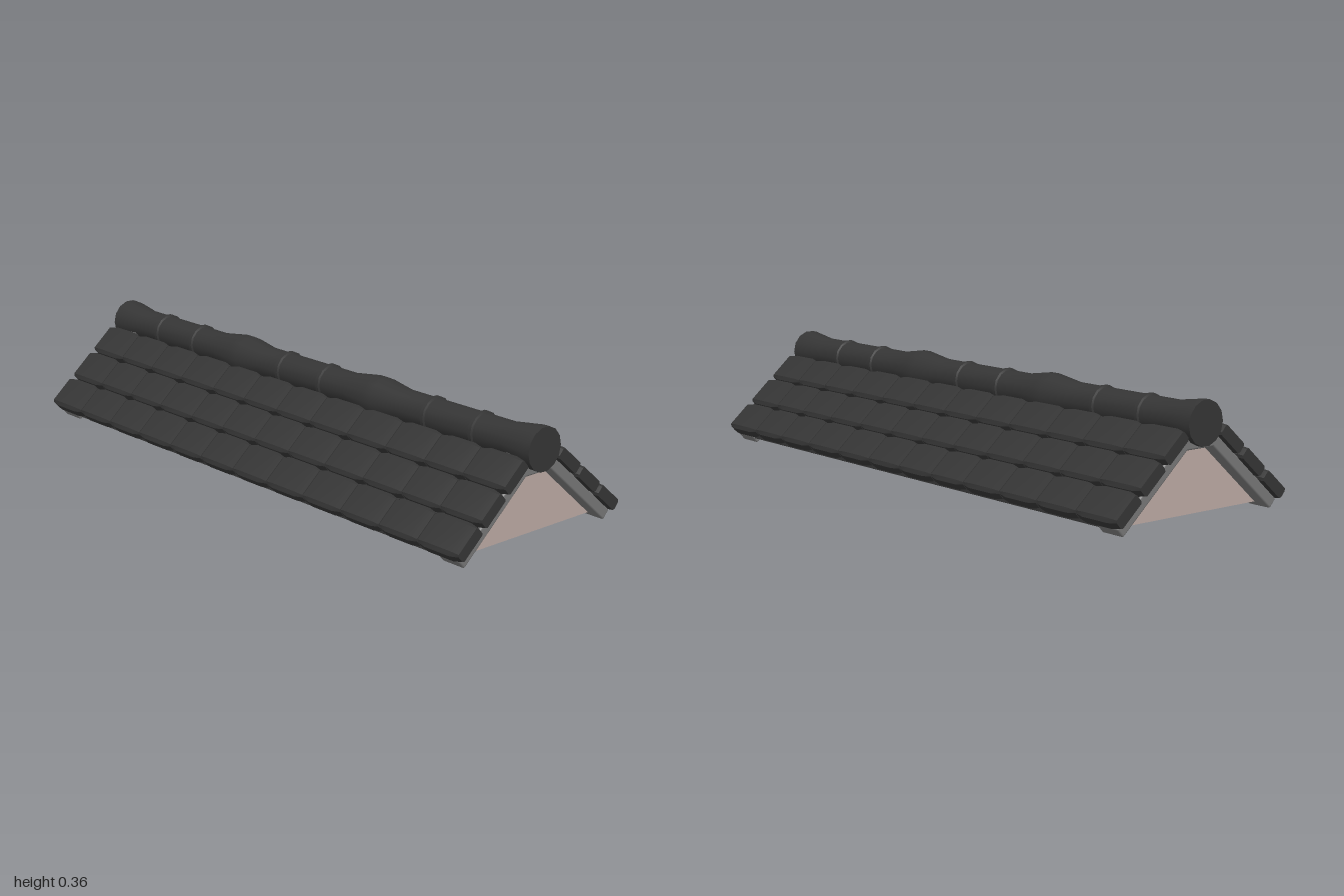
import * as THREE from 'three';
import { toCreasedNormals } from 'three/addons/utils/BufferGeometryUtils.js';
import { RoundedBoxGeometry } from 'three/addons/geometries/RoundedBoxGeometry.js';

const PITCH = 0.721;

function material(name, color) {
  const m = new THREE.MeshStandardMaterial({ color });
  m.name = name;
  return m;
}

function addMesh(parent, name, geometry, mat) {
  const mesh = new THREE.Mesh(geometry, mat);
  mesh.name = name;
  parent.add(mesh);
  return mesh;
}

// Slab with chamfered edges and pulled-in corners; length runs along z
function tileGeometry(width, thickness, length) {
  const half = [width / 2, thickness / 2, length / 2];
  const bevel = [0.032, 0.01, 0.012];
  const g = new THREE.BoxGeometry(2, 2, 2, 3, 3, 3);
  const p = g.attributes.position;
  for (let i = 0; i < p.count; i++) {
    const raw = [p.getX(i), p.getY(i), p.getZ(i)];
    const outer = raw.map((v) => Math.abs(v) > 0.9);
    const v = raw.map((c, k) => Math.sign(c) * (half[k] - (outer[k] ? 0 : bevel[k])));
    if (outer[0] && outer[1]) v[1] *= 0.84;
    if (outer[0] && outer[2]) v[2] *= 0.88;
    if (outer[1] && outer[2]) v[1] *= 0.6;
    p.setXYZ(i, v[0], v[1], v[2]);
  }
  return toCreasedNormals(g, 0.5);
}

// Round ridge with flared joints and thin raised bands, turned around x
function ridgeGeometry() {
  const neck = 0.054, flare = 0.069, band = 0.06;
  const pts = [[-1, 0], [-1, flare], [-0.98, flare], [-0.885, neck]];
  const addBand = (x) => pts.push([x - 0.009, neck], [x - 0.006, band], [x + 0.006, band], [x + 0.009, neck]);
  const addFlare = (x) => pts.push([x - 0.125, neck], [x - 0.02, flare], [x + 0.015, flare], [x + 0.11, neck]);
  addBand(-0.77);
  addBand(-0.575);
  addFlare(-0.333);
  addBand(-0.12);
  addBand(0.08);
  addFlare(0.32);
  addBand(0.555);
  addBand(0.755);
  pts.push([0.875, neck], [0.98, flare], [1, flare], [1, 0]);
  const g = new THREE.LatheGeometry(pts.map(([x, r]) => new THREE.Vector2(r, x)), 14);
  g.rotateZ(-Math.PI / 2);
  return toCreasedNormals(g, 0.5);
}

export function createModel() {
  const model = new THREE.Group();
  model.name = 'tiledRoof';
  const slate = material('dark slate', 0x353535);
  const trim = material('grey trim', 0x777777);
  const plaster = material('pale plaster', 0xbcaaa4);

  // Roof core: plaster gables at both ends, dark slopes and underside
  const outline = new THREE.Shape([
    [-0.31, 0.02], [0.31, 0.02], [0.31, 0.036], [0.055, 0.26], [-0.055, 0.26], [-0.31, 0.036],
  ].map(([z, y]) => new THREE.Vector2(z, y)));
  const core = new THREE.ExtrudeGeometry(outline, { depth: 1.87, bevelEnabled: false });
  core.translate(0, 0, -0.935);
  core.rotateY(Math.PI / 2);
  addMesh(model, 'roofCore', core, [plaster, slate]);

  // Tile columns and rows, bargeboards on each slope
  const columns = [-1, -0.829, -0.658, -0.492, -0.32, -0.16, 0.003, 0.166, 0.337, 0.508, 0.674, 0.834, 1];
  const rows = [[0.296, 0.079], [0.205, 0.158], [0.114, 0.237]];
  for (const side of ['front', 'back']) {
    const slope = new THREE.Group();
    slope.name = side + 'Slope';
    if (side === 'back') slope.rotation.y = Math.PI;
    model.add(slope);

    for (let c = 0; c < columns.length - 1; c++) {
      const flip = side === 'back' ? -1 : 1;
      const geometry = tileGeometry(columns[c + 1] - columns[c] - 0.003, 0.043, 0.117);
      for (const [z, y] of rows) {
        const tile = addMesh(slope, 'roofTile', geometry, slate);
        tile.position.set(flip * (columns[c] + columns[c + 1]) / 2, y, z);
        tile.rotation.x = PITCH;
      }
    }
    for (const x of [-0.938, 0.938]) {
      const board = addMesh(slope, 'bargeboard', new RoundedBoxGeometry(0.086, 0.037, 0.35, 2, 0.006), trim);
      board.position.set(x, 0.132, 0.1805);
      board.rotation.x = PITCH;
    }
  }

  // Blocks under the ridge where the bargeboards meet
  for (const x of [-0.938, 0.938]) {
    const block = addMesh(model, 'ridgeBlock', new RoundedBoxGeometry(0.086, 0.055, 0.122, 2, 0.006), trim);
    block.position.set(x, 0.2475, 0);
  }

  // Ridge
  addMesh(model, 'ridge', ridgeGeometry(), slate).position.y = 0.297;

  return model;
}
